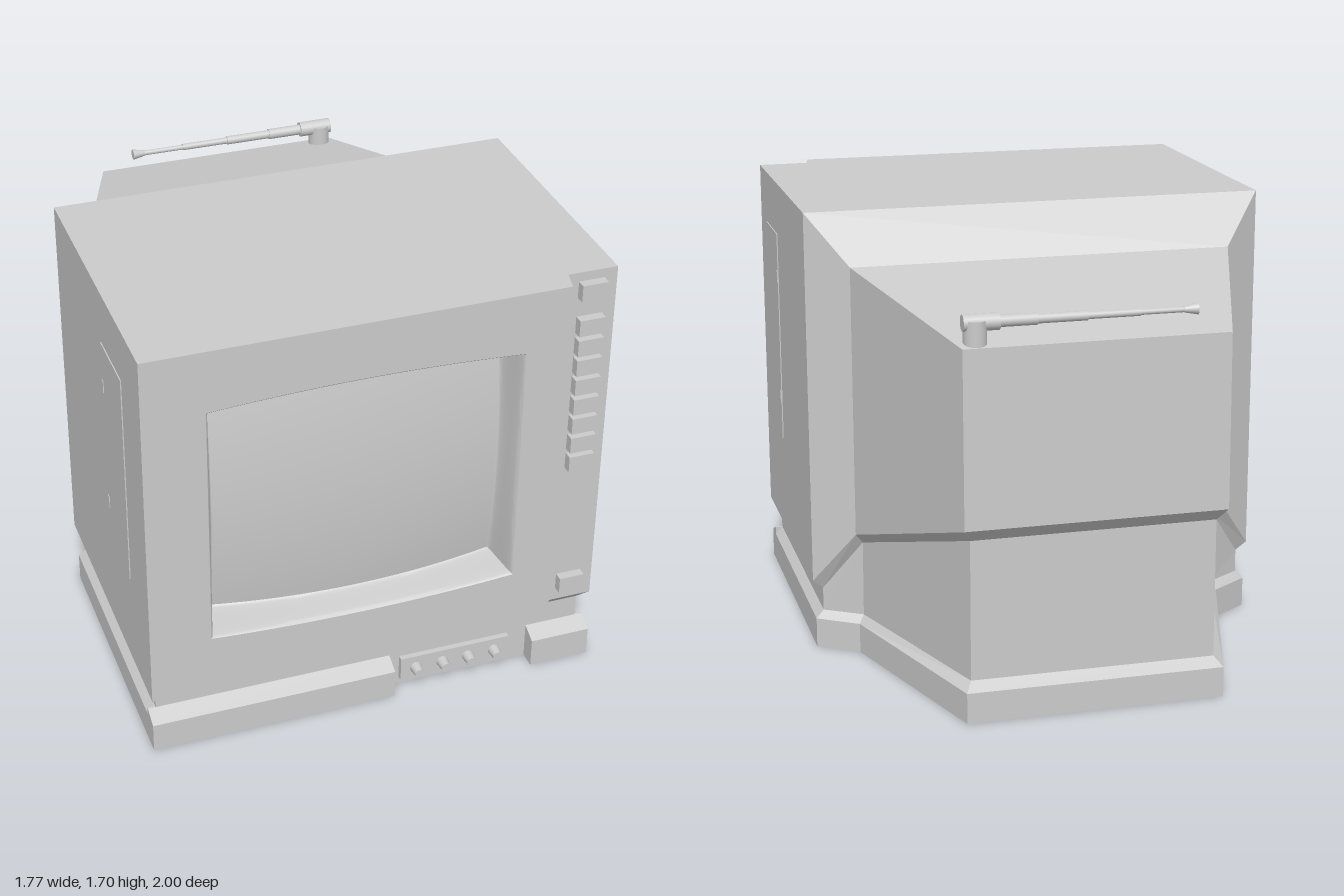
import * as THREE from 'three';
import { toCreasedNormals } from 'three/addons/utils/BufferGeometryUtils.js';

const material = new THREE.MeshStandardMaterial({ color: 0xcccccc });

function add(parent, name, geometry, x = 0, y = 0, z = 0) {
  const mesh = new THREE.Mesh(geometry, material);
  mesh.name = name;
  mesh.position.set(x, y, z);
  parent.add(mesh);
  return mesh;
}

// Flat-sided surface from polygons whose corners run anticlockwise
function polygons(faces) {
  const pos = [];
  for (const f of faces)
    for (let i = 1; i < f.length - 1; i++) pos.push(...f[0], ...f[i], ...f[i + 1]);
  const g = new THREE.BufferGeometry();
  g.setAttribute('position', new THREE.Float32BufferAttribute(pos, 3));
  g.computeVertexNormals();
  return g;
}

// Right half of each outline, front to back, stacked from the floor to the roof
function cabinetGeometry() {
  const halves = [
    [[.87, 0, .89], [.87, 0, -.14], [.72, 0, -.24], [.48, 0, -1]],
    [[.87, .115, .89], [.87, .115, -.14], [.72, .115, -.24], [.48, .115, -1]],
    [[.84, .145, .89], [.84, .145, -.13], [.70, .145, -.22], [.455, .145, -.955]],
    [[.84, .235, .89], [.84, .235, -.13], [.70, .44, -.23], [.455, .67, -.955]],
    [[.88, .27, .92], [.88, .27, -.14], [.73, .48, -.25], [.485, .72, -1]],
    [[.88, 1.7, .92], [.88, 1.7, -.14], [.73, 1.51, -.25], [.485, 1.37, -.99]],
  ];
  const rings = halves.map(h => [...h, ...h.map(([x, y, z]) => [-x, y, z]).reverse()]);
  const faces = [];
  for (let r = 0; r < 5; r++) {
    const sides = r < 3 ? 8 : 7; // the upper front is closed by the bezel
    for (let i = 0; i < sides; i++) {
      const j = (i + 1) % 8;
      faces.push([rings[r][i], rings[r][j], rings[r + 1][j], rings[r + 1][i]]);
    }
  }
  const roof = rings[5], floor = rings[0];
  for (let i = 0; i < 3; i++) {
    faces.push([roof[i], roof[i + 1], roof[6 - i], roof[7 - i]]);
    faces.push([floor[7 - i], floor[6 - i], floor[i + 1], floor[i]]);
  }
  return polygons(faces);
}

// Perimeter of the square -1..1, anticlockwise from the lower right corner
const SIDE = 20;
const perimeter = [];
for (let s = 0; s < 4; s++)
  for (let i = 0; i < SIDE; i++) {
    const t = -1 + 2 * i / SIDE;
    perimeter.push([[1, t], [-t, 1], [-1, -t], [t, -1]][s]);
  }
const openingX = u => -.07 + .583 * u;
const openingY = (u, v) => .98 + v * (.48 + .022 * (1 - u * u));
const screenZ = (u, v) => .92 - .04 * (u * u + v * v);
const INNER = .925;

// Concentric rings from scale k(t), with depth z(t, u, v)
function ringSurface(steps, k, z) {
  const pos = [], index = [], n = perimeter.length;
  for (let r = 0; r <= steps; r++)
    for (const p of perimeter) {
      const t = r / steps, u = p[0] * k(t), v = p[1] * k(t);
      pos.push(openingX(u), openingY(u, v), z(t, u, v));
    }
  for (let r = 0; r < steps; r++)
    for (let i = 0; i < n; i++) {
      const a = r * n + i, b = r * n + (i + 1) % n;
      index.push(a, b, b + n, a, b + n, a + n);
    }
  const g = new THREE.BufferGeometry();
  g.setAttribute('position', new THREE.Float32BufferAttribute(pos, 3));
  g.setIndex(index);
  g.computeVertexNormals();
  return g;
}

// Cylinder lying along x
function rod(r0, r1, length) {
  return new THREE.CylinderGeometry(r1, r0, length, 20).rotateZ(Math.PI / 2);
}

export function createModel() {
  const model = new THREE.Group();
  model.name = 'portableTelevision';

  add(model, 'cabinet', cabinetGeometry());

  // Front bezel with the screen opening
  const face = new THREE.Shape([[-.88, .27], [.67, .27], [.67, 1.7], [-.88, 1.7]]
    .map(p => new THREE.Vector2(...p)));
  face.holes.push(new THREE.Path(perimeter.map(([u, v]) =>
    new THREE.Vector2(openingX(u), openingY(u, v)))));
  add(model, 'bezelFace', new THREE.ShapeGeometry(face), 0, 0, 1);

  const L = -.88, R = .67, S = .69, B = .27, T = 1.7, C = .92;
  add(model, 'bezelSides', polygons([
    [[L, T, 1], [R, T, 1], [S, T, C], [L, T, C]],
    [[L, B, C], [L, B, 1], [L, T, 1], [L, T, C]],
    [[R, B, 1], [S, B, C], [S, T, C], [R, T, 1]],
    [[L, B, 1], [-.84, .235, .89], [S, .235, .89], [R, B, 1]],
    [[L, B, 1], [L, B, C], [-.84, .235, .89]],
    [[R, B, 1], [S, .235, .89], [S, B, C]],
  ]));

  // Set-back strip that carries the buttons
  add(model, 'buttonColumn', polygons([
    [[S, B, C], [.88, B, C], [.88, T, C], [S, T, C]],
    [[S, .235, .89], [.84, .235, .89], [.88, B, C], [S, B, C]],
  ]));
  for (const y of [1.632, 1.49, 1.407, 1.325, 1.243, 1.16, 1.078, .995, .912, .357])
    add(model, 'button', new THREE.BoxGeometry(.098, .065, .045), .782, y, .933);

  // Softly sloping surround and bulging tube
  const wall = ringSurface(12, t => 1 - (1 - INNER) * t, (t, u, v) =>
    THREE.MathUtils.lerp(1, screenZ(u, v), t * t * (3 - 2 * t)));
  add(model, 'screenSurround', toCreasedNormals(wall, .7));
  add(model, 'screen', ringSurface(16, t => INNER * (1 - t), (t, u, v) => screenZ(u, v)));

  // Front of the plinth, split by the control recess
  const profile = new THREE.Shape([[.88, 0], [.955, 0], [.955, .115], [.89, .145], [.88, .145]]
    .map(p => new THREE.Vector2(...p)));
  for (const [x0, x1] of [[-.87, .075], [.635, .87]])
    add(model, 'plinthFront', new THREE.ExtrudeGeometry(profile,
      { depth: x1 - x0, bevelEnabled: false }).rotateY(-Math.PI / 2), x1);
  add(model, 'controlPanel', new THREE.BoxGeometry(.44, .1, .03), .335, .08, .897);
  for (const x of [.175, .283, .388, .495])
    add(model, 'knob', new THREE.CylinderGeometry(.018, .023, .045, 20).rotateX(Math.PI / 2),
      x, .08, .933);

  // Side hatches with two catches each
  for (const side of [-1, 1]) {
    add(model, 'sideHatch', new THREE.BoxGeometry(.01, .84, .264), side * .879, 1.075, .633);
    for (const y of [.828, 1.322])
      add(model, 'hatchCatch', new THREE.BoxGeometry(.01, .046, .02), side * .882, y, .512);
  }

  // Folded telescopic aerial
  const aerial = new THREE.Group();
  aerial.name = 'aerial';
  aerial.position.set(.43, 1.45, -.943);
  model.add(aerial);
  add(aerial, 'aerialPost', new THREE.CylinderGeometry(.042, .042, .11, 24), 0, -.045, 0);
  add(aerial, 'aerialKnuckle', rod(.03, .03, .13), -.02, 0, 0);
  for (const [x0, x1, r0, r1] of [[-.07, -.22, .021, .021], [-.22, -.4, .017, .017],
    [-.4, -.59, .013, .013], [-.59, -.75, .01, .01], [-.75, -.8, .011, .021]])
    add(aerial, 'aerialSection', rod(r0, r1, x0 - x1), (x0 + x1) / 2, 0, 0);

  return model;
}
